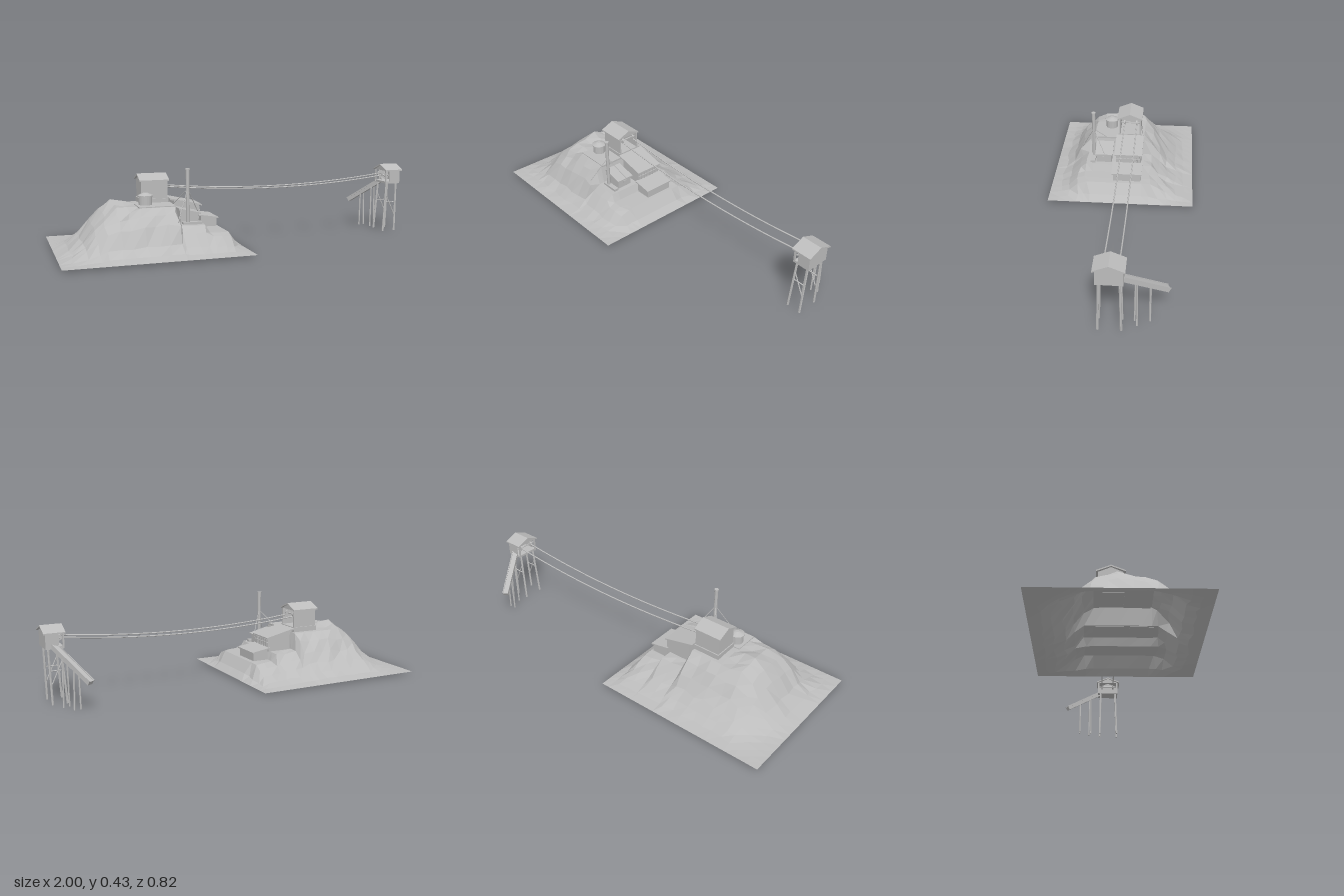
import * as THREE from 'three';

export function createModel() {
  const root = new THREE.Group();
  const clay = new THREE.MeshStandardMaterial({ color: 0xbcbcbc, flatShading: true, side: THREE.DoubleSide });
  clay.name = 'plain grey';
  const add = (name, geo, parent = root) => {
    const m = new THREE.Mesh(geo, clay);
    m.name = name;
    parent.add(m);
    return m;
  };
  const group = (name) => {
    const g = new THREE.Group();
    g.name = name;
    root.add(g);
    return g;
  };
  const box = (name, x0, x1, y0, y1, z0, z1, parent) =>
    add(name, new THREE.BoxGeometry(x1 - x0, y1 - y0, z1 - z0)
      .translate((x0 + x1) / 2, (y0 + y1) / 2, (z0 + z1) / 2), parent);
  // Straight round post between two points
  const rod = (name, a, b, r, parent, sides = 6) => {
    const A = new THREE.Vector3(...a), B = new THREE.Vector3(...b);
    const m = add(name, new THREE.CylinderGeometry(r, r, A.distanceTo(B), sides), parent);
    m.position.copy(A).add(B).multiplyScalar(0.5);
    m.quaternion.setFromUnitVectors(new THREE.Vector3(0, 1, 0), B.sub(A).normalize());
    return m;
  };
  const shapeOf = (pts) => new THREE.Shape(pts.map((p) => new THREE.Vector2(...p)));
  // Profile in x,y drawn out along z
  const alongZ = (name, pts, z0, z1, parent) =>
    add(name, new THREE.ExtrudeGeometry(shapeOf(pts), { depth: z1 - z0, bevelEnabled: false })
      .translate(0, 0, z0), parent);
  // Profile in z,y drawn out along x
  const alongX = (name, pts, x0, x1, parent) =>
    add(name, new THREE.ExtrudeGeometry(shapeOf(pts.map(([z, y]) => [-z, y])), { depth: x1 - x0, bevelEnabled: false })
      .rotateY(Math.PI / 2).translate(x0, 0, 0), parent);

  // Hill: each x has [x, natural height, terrace cut height]; the natural height is scaled across z
  const hx = [[-1, .01, 1], [-.93, .037, 1], [-.87, .085, 1], [-.81, .16, 1], [-.76, .22, 1], [-.7, .254, 1],
    [-.64, .248, 1], [-.58, .238, 1], [-.52, .238, 1], [-.46, .238, 1], [-.4, .237, 1], [-.378, .175, .145],
    [-.31, .17, .142], [-.25, .165, .14], [-.23, .14, .1], [-.17, .135, .098], [-.125, .115, .095],
    [-.08, .04, 1], [-.04, .01, 1]];
  const fz = [[-.415, 0], [-.36, .06], [-.31, .17], [-.26, .34], [-.21, .56], [-.165, .8], [-.12, .97], [-.06, 1],
    [0, 1], [.06, 1], [.12, 1], [.172, 1], [.205, .87], [.25, .64], [.3, .25], [.35, .08], [.41, 0]];
  let seed = 7;
  const rnd = () => (seed = (seed * 16807) % 2147483647) / 2147483647 - 0.5;
  const pos = [], idx = [], nz = fz.length;
  hx.forEach(([x, h, cut], i) => fz.forEach(([z, f], k) => {
    const edge = i === 0 || k === 0 || i === hx.length - 1 || k === nz - 1;
    const built = x > -0.6 && f > 0.95;
    const j = edge ? 0 : built ? 0.05 : 1;
    const dome = x < -0.6 ? 1 - 5 * Math.min(z * z, 0.03) : 1;
    const y = Math.min(cut, 0.01 + (h - 0.01) * f * dome * (1 + rnd() * 0.1 * j));
    pos.push(x + rnd() * 0.018 * j, y, z + rnd() * 0.02 * j);
    if (i < hx.length - 1 && k < nz - 1) {
      const a = i * nz + k, b = a + 1, d = a + nz, c = d + 1;
      idx.push(a, b, d, b, c, d);
    }
  }));
  const land = new THREE.BufferGeometry();
  land.setAttribute('position', new THREE.Float32BufferAttribute(pos, 3));
  land.setIndex(idx);
  const hill = land.toNonIndexed();
  hill.computeVertexNormals();
  add('hill', hill);
  box('upperTerrace', -.585, -.395, .233, .242, .03, .165);

  // Gabled cable house: walls from xa to xb, roof over x0 to x1, open on one side (openDir is +1 or -1 along x)
  const cableHouse = (name, x0, x1, xa, xb, floor, openDir) => {
    const g = group(name);
    const z0 = -.1, z1 = .027, zm = -.035, eave = .355;
    const closed = openDir > 0 ? x0 : x1, open = openDir > 0 ? x1 : x0;
    box('floor', x0, x1, floor, floor + .012, z0, z1, g);
    for (const z of [z0, z1 - .006]) box('sideWall', xa, xb, floor, eave, z, z + .006, g);
    const gable = [[z0, eave], [z1, eave], [zm, .383]];
    alongX('endWall', [[z0, floor], [z1, floor], ...gable.slice(1), gable[0]],
      openDir > 0 ? closed : closed - .006, openDir > 0 ? closed + .006 : closed, g);
    alongX('openGable', gable, open - .003, open + .003, g);
    for (const z of [z0 + .004, z1 - .004]) box('cornerPost', open - .004, open + .004, floor, eave, z - .004, z + .004, g);
    alongX('roof', [[-.108, .354], [-.108, .361], [zm, .391], [.038, .361], [.038, .354], [zm, .383]],
      x0 - .01, x1 + .01, g);
    // Cable wheels
    const wx = open - openDir * .014;
    for (const z of [-.075, -.003]) {
      add('wheel', new THREE.CylinderGeometry(.014, .014, .008, 14).rotateX(Math.PI / 2).translate(wx, .33, z), g);
    }
    rod('axle', [wx, .33, z0], [wx, .33, z1], .004, g);
    return g;
  };
  const upper = cableHouse('hilltopStation', -.545, -.408, -.545, -.408, .24, 1);
  box('sill', -.55, -.402, .235, .262, -.106, .032, upper);
  const tower = cableHouse('towerStation', .902, .99, .924, .99, .28, -1);

  // Splayed tower legs with braces
  for (const [top, foot] of [[.912, .892], [.975, .966]]) {
    for (const [zt, zf] of [[.012, .021], [-.083, -.088]]) rod('towerLeg', [top, .28, zt], [foot, 0, zf], .006, tower);
  }
  for (const z of [.016, -.086]) {
    rod('crossBrace', [.908, .22, z], [.969, .09, z], .003, tower);
    rod('tieBeam', [.904, .17, z], [.971, .17, z], .003, tower);
  }

  // Loading chute: a sloping covered trough on legs
  const chute = group('chute');
  const trough = new THREE.Group();
  trough.name = 'trough';
  chute.add(trough);
  const from = new THREE.Vector3(.95, .295, -.09), to = new THREE.Vector3(.832, .148, -.295);
  const len = from.distanceTo(to);
  box('casing', -.015, .015, -.013, .009, -len / 2, len / 2, trough);
  for (const s of [-1, 1]) box('sideRail', s * .015 - .002, s * .015 + .002, .005, .013, -len / 2, len / 2, trough);
  trough.position.copy(from).add(to).multiplyScalar(.5);
  trough.lookAt(to);
  for (const [t, dz] of [[.3, .004], [.61, .001]]) {
    const p = from.clone().lerp(to, t);
    for (const s of [-1, 1]) {
      rod('chuteLeg', [p.x + s * .012, p.y - .008, p.z - s * dz], [p.x + s * .016, 0, p.z - s * dz * 1.5], .0045, chute);
    }
  }

  // Sagging cables
  for (const z of [-.075, -.003]) {
    const curve = new THREE.QuadraticBezierCurve3(
      new THREE.Vector3(-.42, .321, z), new THREE.Vector3(.25, .247, z), new THREE.Vector3(.912, .331, z));
    add('cable', new THREE.TubeGeometry(curve, 24, .0036, 8));
  }

  // Water tank with a conical lid
  const tank = add('waterTank', new THREE.LatheGeometry(
    [[0, 0], [.035, 0], [.035, .05], [.04, .05], [.04, .055], [.01, .068], [0, .068]].map((p) => new THREE.Vector2(...p)), 16));
  tank.position.set(-.535, .236, .08);

  // Middle mill building with a shed roof and two rows of windows
  const mill = group('millBuilding');
  alongZ('walls', [[-.372, .143], [-.236, .143], [-.236, .217], [-.372, .248]], -.11, .032, mill);
  alongZ('roof', [[-.395, .253], [-.222, .215], [-.222, .222], [-.395, .261]], -.118, .042, mill);
  for (let i = 0; i < 7; i++) {
    const z = -.098 + i * .02;
    for (const y of [.175, .195]) box('windowPane', -.237, -.232, y, y + .014, z - .006, z + .006, mill);
    box('mullion', -.238, -.23, .168, .215, z - .012, z - .008, mill);
  }
  box('windowSill', -.238, -.229, .189, .193, -.11, .032, mill);

  // Lower mill building
  const lower = group('lowerBuilding');
  alongZ('walls', [[-.228, .1], [-.14, .1], [-.14, .145], [-.228, .16]], -.113, .043, lower);
  alongZ('roof', [[-.24, .16], [-.132, .142], [-.132, .149], [-.24, .167]], -.12, .052, lower);

  // Engine shed beside the chimney
  const shed = group('engineShed');
  alongZ('walls', [[-.37, .143], [-.272, .143], [-.272, .193], [-.37, .218]], .062, .15, shed);
  alongZ('roof', [[-.378, .216], [-.262, .19], [-.262, .197], [-.378, .224]], .055, .157, shed);
  box('door', -.274, -.269, .145, .18, .09, .115, shed);

  // Chimney on its footing, with stay wires
  const stack = group('chimney');
  box('footing', -.362, -.262, .142, .155, .157, .184, stack);
  rod('flue', [-.334, .145, .17], [-.334, .43, .17], .0095, stack, 10);
  rod('cap', [-.334, .424, .17], [-.334, .431, .17], .012, stack, 10);
  for (const foot of [[-.4, .235, .095], [-.262, .197, .1], [-.405, .17, .245]]) {
    rod('stayWire', [-.334, .325, .17], foot, .002, stack, 4);
  }
  return root;
}
